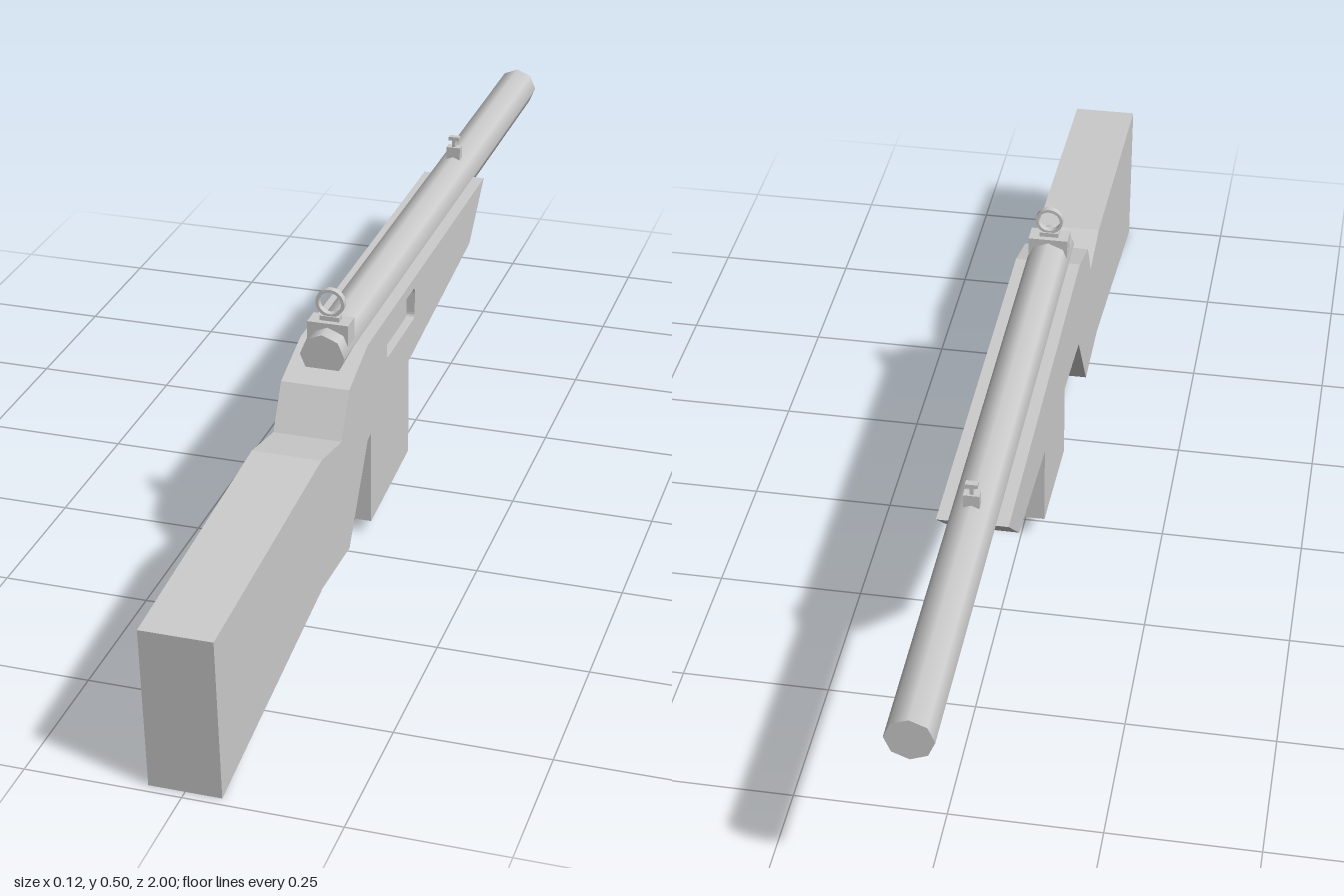
import * as THREE from 'three';

const material = new THREE.MeshStandardMaterial({ color: 0xcccccc });

function add(parent, name, geometry, x = 0, y = 0, z = 0) {
  const mesh = new THREE.Mesh(geometry, material);
  mesh.name = name;
  mesh.position.set(x, y, z);
  parent.add(mesh);
  return mesh;
}

// Extrudes a side profile drawn as (z, y) between two x positions
function sideExtrude(shape, xMin, xMax) {
  const g = new THREE.ExtrudeGeometry(shape, { depth: xMax - xMin, bevelEnabled: false, curveSegments: 4 });
  return g.rotateY(-Math.PI / 2).translate(xMax, 0, 0);
}

const profile = (points) => new THREE.Shape(points.map(([z, y]) => new THREE.Vector2(z, y)));

function roundedRect(z0, y0, z1, y1, r) {
  const p = new THREE.Path();
  p.moveTo(z0 + r, y0);
  p.lineTo(z1 - r, y0);
  p.quadraticCurveTo(z1, y0, z1, y0 + r);
  p.lineTo(z1, y1 - r);
  p.quadraticCurveTo(z1, y1, z1 - r, y1);
  p.lineTo(z0 + r, y1);
  p.quadraticCurveTo(z0, y1, z0, y1 - r);
  p.lineTo(z0, y0 + r);
  p.quadraticCurveTo(z0, y0, z0 + r, y0);
  return p;
}

export function createModel() {
  const model = new THREE.Group();
  model.name = 'rifle';

  // Stock: a full-profile core plus a thin cheek with the recess cut out
  const stockPoints = [
    [1, 0.28], [0.985, 0.002], [0.5, 0.08], [0.355, 0.073], [0.25, 0.223], [-0.405, 0.306],
    [-0.505, 0.398], [0.25, 0.398], [0.352, 0.365], [0.395, 0.293], [0.5, 0.313],
  ];
  const stock = new THREE.Group();
  stock.name = 'stock';
  model.add(stock);
  add(stock, 'stockCore', sideExtrude(profile(stockPoints), -0.058, 0.043));
  const cheek = profile(stockPoints);
  cheek.holes.push(roundedRect(-0.032, 0.321, 0.139, 0.379, 0.01));
  add(stock, 'stockCheekWithRecess', sideExtrude(cheek, 0.043, 0.058));

  // Magazine with a sloping floor
  const magazine = profile([[0.182, 0.027], [-0.048, 0.047], [-0.048, 0.29], [0.182, 0.26]]);
  add(model, 'magazine', sideExtrude(magazine, -0.043, 0.043));

  // Barrel
  const barrel = new THREE.CylinderGeometry(0.038, 0.038, 1.314, 8).rotateX(Math.PI / 2);
  add(model, 'barrel', barrel, 0, 0.4, -0.343);

  // Rear ring sight
  const rearSight = new THREE.Group();
  rearSight.name = 'rearSight';
  rearSight.position.z = 0.266;
  model.add(rearSight);
  add(rearSight, 'rearSightBlock', new THREE.BoxGeometry(0.07, 0.05, 0.036), 0, 0.42, 0);
  add(rearSight, 'rearSightFoot', new THREE.BoxGeometry(0.034, 0.01, 0.016), 0, 0.448, 0);
  const ring = new THREE.Shape().absarc(0, 0, 0.0245, 0, Math.PI * 2);
  ring.holes.push(new THREE.Path().absarc(0, 0, 0.0192, 0, Math.PI * 2, true));
  const ringGeometry = new THREE.ExtrudeGeometry(ring, { depth: 0.011, bevelEnabled: false, curveSegments: 16 });
  add(rearSight, 'rearSightRing', ringGeometry, 0, 0.4755, -0.0055);

  // Front T-shaped sight
  const frontSight = new THREE.Group();
  frontSight.name = 'frontSight';
  frontSight.position.z = -0.503;
  model.add(frontSight);
  add(frontSight, 'frontSightBase', new THREE.BoxGeometry(0.026, 0.027, 0.016), 0, 0.4435, 0);
  add(frontSight, 'frontSightPost', new THREE.BoxGeometry(0.006, 0.018, 0.009), 0, 0.463, 0);
  add(frontSight, 'frontSightBar', new THREE.BoxGeometry(0.02, 0.007, 0.011), 0, 0.4735, 0);

  return model;
}
